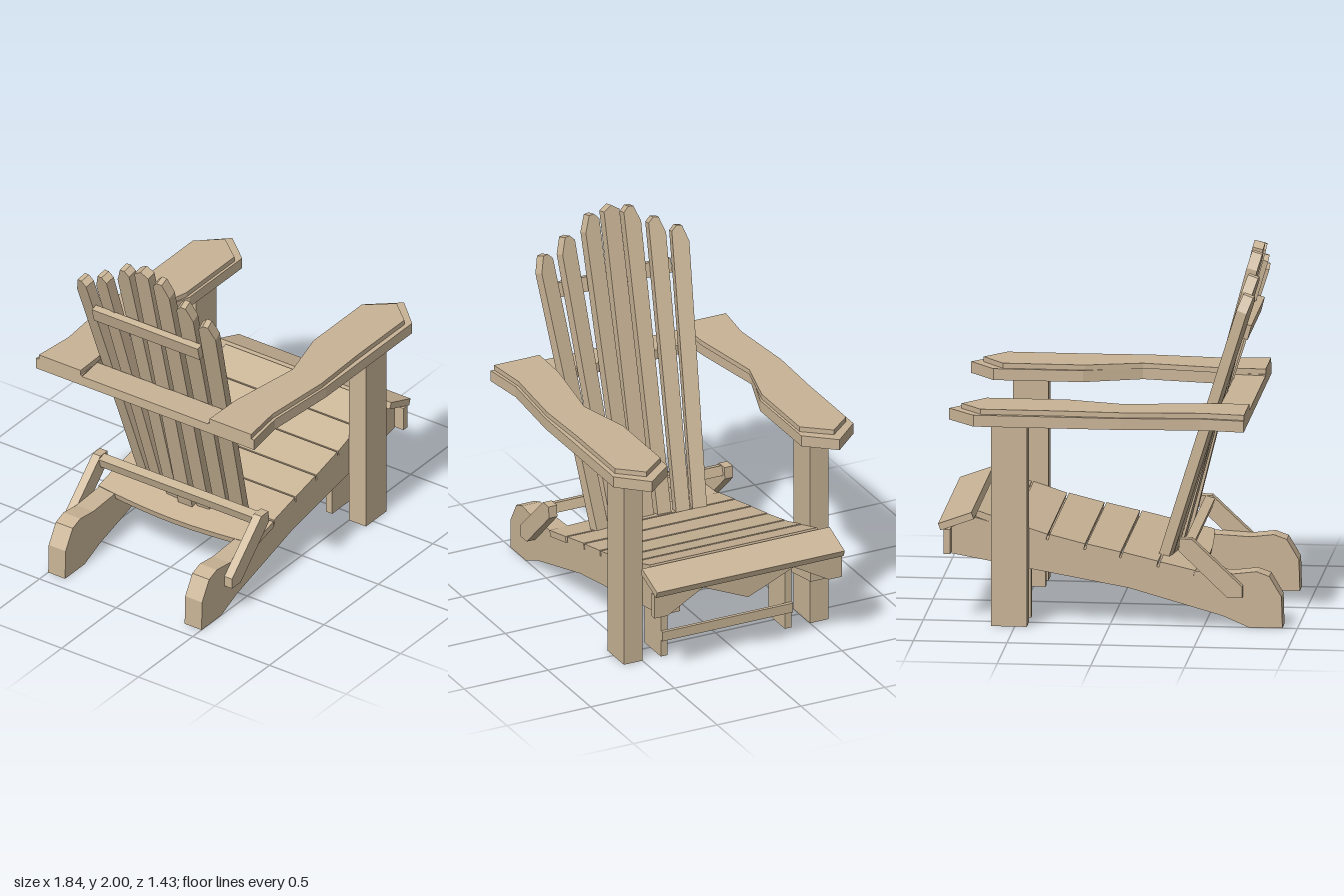
import * as THREE from 'three';

const wood = new THREE.MeshStandardMaterial({ color: 0xc9b496 });
wood.name = 'naturalWood';

export function createModel() {
  const chair = new THREE.Group();
  chair.name = 'slattedGardenChair';

  const add = (name, geometry) => {
    const mesh = new THREE.Mesh(geometry, wood);
    mesh.name = name;
    chair.add(mesh);
    return mesh;
  };
  const extrude = (pts, depth) => new THREE.ExtrudeGeometry(
    new THREE.Shape(pts.map(([x, y]) => new THREE.Vector2(x, y))), { depth, bevelEnabled: false });
  // Side profile (x, y) extruded from z0 to z1
  const profile = (name, pts, z0, z1) => add(name, extrude(pts, z1 - z0).translate(0, 0, z0));
  // Plan outline (x, z) extruded from y0 up to y1
  const plan = (name, pts, y0, y1) =>
    add(name, extrude(pts, y1 - y0).rotateX(Math.PI / 2).translate(0, y1, 0));
  const box = (name, x0, x1, y0, y1, z0, z1) => add(name,
    new THREE.BoxGeometry(x1 - x0, y1 - y0, z1 - z0)
      .translate((x0 + x1) / 2, (y0 + y1) / 2, (z0 + z1) / 2));
  // Board whose upper face runs between two points, t thick
  const board = (name, [xa, ya], [xb, yb], t, halfWidth) => {
    const l = Math.hypot(xb - xa, yb - ya);
    const nx = (yb - ya) / l * t, ny = -(xb - xa) / l * t;
    return profile(name, [[xa, ya], [xb, yb], [xb + nx, yb + ny], [xa + nx, ya + ny]],
      -halfWidth, halfWidth);
  };

  const railProfile = [[-0.92, 0], [-0.74, 0], [-0.6, 0.06], [-0.1, 0.2], [0.85, 0.367],
    [0.85, 0.51], [0.72, 0.565], [0.52, 0.508], [0.33, 0.45], [0.13, 0.402], [-0.06, 0.362],
    [-0.26, 0.317], [-0.46, 0.3], [-0.66, 0.29], [-0.78, 0.305], [-0.85, 0.28], [-0.915, 0.17]];
  const strutProfile = [[-0.71, 0.17], [-0.63, 0.17], [-0.37, 0.42], [-0.375, 0.485],
    [-0.44, 0.485], [-0.71, 0.23]];
  const armOutline = [[-0.735, 0.712], [-0.5, 0.682], [-0.08, 0.716], [0.71, 0.716],
    [0.855, 0.56], [0.72, 0.4], [0.24, 0.4], [-0.07, 0.505], [-0.5, 0.435], [-0.735, 0.41]];
  const armTopOutline = [[-0.735, 0.692], [-0.5, 0.666], [-0.1, 0.7], [0.24, 0.69], [0.675, 0.69],
    [0.788, 0.56], [0.67, 0.415], [0.23, 0.415], [-0.07, 0.492], [-0.5, 0.425], [-0.735, 0.42]];

  // Mirrored side parts
  for (const [side, s] of [['left', 1], ['right', -1]]) {
    const span = (a, b) => (s > 0 ? [a, b] : [-b, -a]);
    profile(side + 'SeatRail', railProfile, ...span(0.39, 0.5));
    profile(side + 'BackStrut', strutProfile, ...span(0.5, 0.55));
    box(side + 'FrontLeg', 0.435, 0.625, 0, 1.11, ...span(0.5, 0.61));
    box(side + 'InnerLeg', 0.435, 0.625, 0, 0.48, ...span(0.35, 0.39));
    const mirror = (pts) => pts.map(([x, z]) => [x, z * s]);
    plan(side + 'Armrest', mirror(armOutline), 1.11, 1.172);
    plan(side + 'ArmrestTop', mirror(armTopOutline), 1.172, 1.2);
  }

  // Seat slats with narrow gaps
  const seat = [[-0.26, 0.35], [-0.06, 0.395], [0.13, 0.435], [0.33, 0.482], [0.52, 0.54], [0.715, 0.603]];
  for (let i = 0; i < seat.length - 1; i++) {
    const [xa, ya] = seat[i], [xb, yb] = seat[i + 1];
    board('seatSlat', [xa + 0.005, ya], [xb - 0.005, yb], 0.035, 0.5);
  }
  board('frontSeatSlat', [0.737, 0.605], [0.915, 0.54], 0.038, 0.56);

  // Rear seat slat with a bowed back edge, tilted with the seat
  const bow = [[0, -0.505], [0, 0.505]];
  for (let i = 0; i <= 10; i++) {
    const z = 0.505 - i * 0.101;
    bow.push([-0.19 - 0.035 * Math.cos(z / 0.505 * Math.PI / 2), z]);
  }
  const rear = plan('rearSeatSlat', bow, -0.035, 0);
  rear.position.set(-0.267, 0.348, 0);
  rear.rotation.z = 0.23;

  // Scalloped front apron
  const apron = [[-0.56, 0.375], [-0.48, 0.375], [-0.27, 0.495], [0, 0.378], [0.27, 0.495],
    [0.48, 0.375], [0.56, 0.375], [0.56, 0.51], [-0.56, 0.51]];
  add('frontApron', extrude(apron, 0.035).rotateY(Math.PI / 2).translate(0.85, 0, 0));

  // Cross members
  box('legStretcher', 0.625, 0.645, 0.098, 0.152, -0.39, 0.39);
  box('armCrossbar', -0.735, -0.57, 1.11, 1.165, -0.5, 0.5);
  board('lowerBackBar', [-0.455, 0.47], [-0.405, 0.485], 0.055, 0.5);
  board('upperBackBar', [-0.738, 1.61], [-0.7, 1.62], 0.08, 0.345);

  // Fanned back slats: front-face foot and top, inward twist
  const fan = [
    { foot: [-0.305, 0.32, 0], top: [-0.72, 2.0, 0], twist: 0 },
    { foot: [-0.28, 0.32, 0.097], top: [-0.72, 1.97, 0.12], twist: 0.07 },
    { foot: [-0.255, 0.32, 0.195], top: [-0.715, 1.875, 0.267], twist: 0.14 },
    { foot: [-0.24, 0.32, 0.287], top: [-0.705, 1.8, 0.402], twist: 0.21 },
  ];
  const backSlat = ({ foot, top, twist }, s) => {
    const a = new THREE.Vector3(foot[0], foot[1], foot[2] * s);
    const up = new THREE.Vector3(top[0], top[1], top[2] * s).sub(a);
    const L = up.length();
    up.normalize();
    const across = up.clone().cross(new THREE.Vector3(Math.cos(twist), 0, -s * Math.sin(twist))).normalize();
    const normal = across.clone().cross(up);
    const w = 0.046, f = 0.039;
    const pts = twist
      ? [[-f, 0], [f, 0], [w, L - 0.09], [w - 0.012, L - 0.06], [0.012, L - 0.003], [-0.018, L], [-w, L - 0.03]]
      : [[-w, 0], [w, 0], [w, L - 0.03], [0, L], [-w, L - 0.03]];
    const geometry = extrude(pts.map(([u, v]) => [-s * u, v]), 0.058).translate(0, 0, -0.058);
    geometry.applyMatrix4(new THREE.Matrix4().makeBasis(across, up, normal).setPosition(a));
    add('backSlat', geometry);
  };
  fan.forEach((slat, i) => {
    backSlat(slat, 1);
    if (i) backSlat(slat, -1);
  });

  return chair;
}
